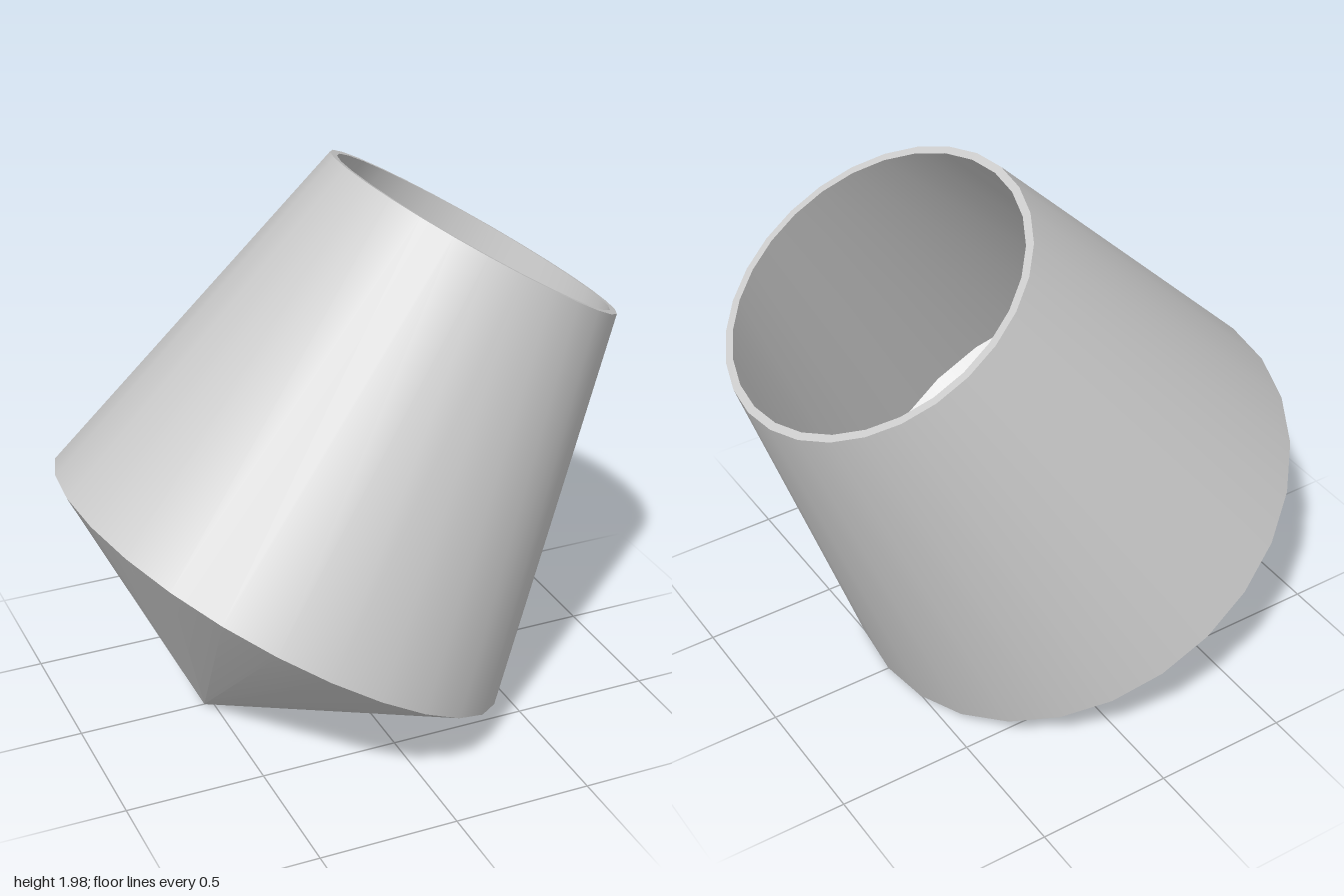
import * as THREE from 'three';

const SIDES = 28;
const TILT = -0.557; // leans toward +x so the lowest cone line rests on the ground

// Profile stations as [radius, height along the axis]
const outerTip = [0, 0];
const outerBelly = [0.9, 0.562];
const outerRim = [0.572, 1.98];
const innerRim = [0.544, 1.98];
const innerBelly = [0.877, 0.57];
const innerTip = [0, 0.025];

export function createModel() {
  const material = new THREE.MeshStandardMaterial({ color: 0xcccccc });
  const cup = new THREE.Group();
  cup.name = 'tiltedCup';

  // Each band is its own lathe: smooth around, sharp where bands meet
  const addBand = (name, from, to) => {
    const profile = [from, to].map(([r, y]) => new THREE.Vector2(r, y));
    const mesh = new THREE.Mesh(new THREE.LatheGeometry(profile, SIDES), material);
    mesh.name = name;
    cup.add(mesh);
  };

  addBand('conicalBase', outerTip, outerBelly);
  addBand('outerWall', outerBelly, outerRim);
  addBand('rim', outerRim, innerRim);
  addBand('innerWall', innerRim, innerBelly);
  addBand('conicalFloor', innerBelly, innerTip);

  // Lean the cup about its tip, which touches the ground
  cup.rotation.z = TILT;
  cup.position.x = -0.532;

  const model = new THREE.Group();
  model.name = 'model';
  model.add(cup);
  return model;
}
